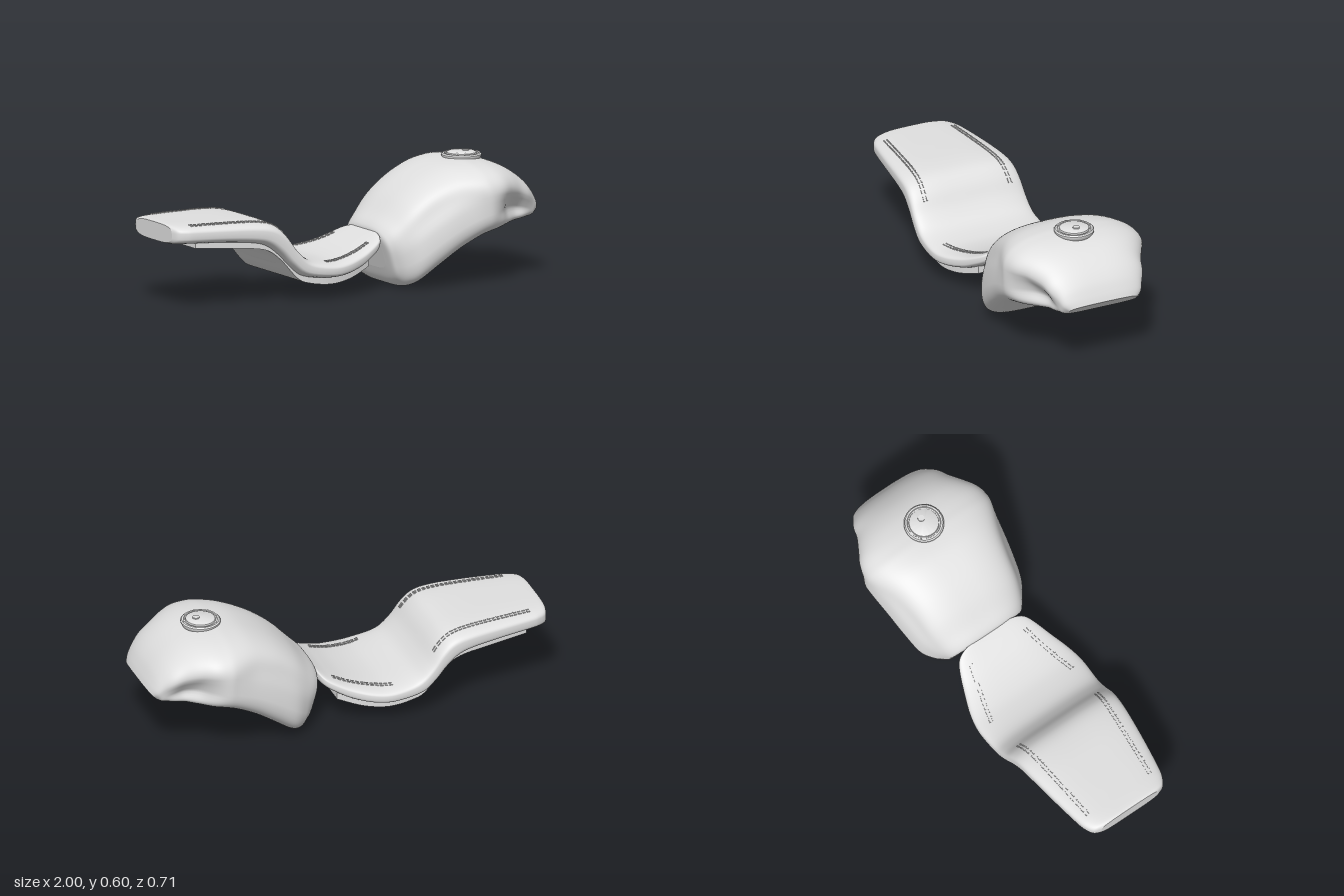
import * as THREE from 'three';
import { mergeGeometries, toCreasedNormals } from 'three/addons/utils/BufferGeometryUtils.js';

// Section rows: bottomX, bottomY, topX, topY, halfWidth, dentDepth, dentHeight
const TANK = [
  [0.190, 0.085, 0.147, 0.235, 0.140, 0, 0.7],
  [0.210, 0.035, 0.140, 0.270, 0.195, 0, 0.7],
  [0.235, 0.010, 0.155, 0.300, 0.222, 0.01, 0.7],
  [0.265, 0.000, 0.200, 0.345, 0.258, 0.05, 0.72],
  [0.310, 0.018, 0.280, 0.425, 0.298, 0.09, 0.72],
  [0.400, 0.083, 0.380, 0.495, 0.322, 0.10, 0.72],
  [0.500, 0.153, 0.500, 0.548, 0.340, 0.07, 0.70],
  [0.600, 0.208, 0.600, 0.566, 0.355, 0.02, 0.6],
  [0.660, 0.230, 0.660, 0.566, 0.358, 0.01, 0.4],
  [0.720, 0.243, 0.720, 0.560, 0.348, 0.09, 0.36],
  [0.780, 0.252, 0.785, 0.545, 0.312, 0.20, 0.33],
  [0.835, 0.260, 0.850, 0.515, 0.274, 0.20, 0.3],
  [0.885, 0.267, 0.910, 0.470, 0.252, 0.12, 0.3],
  [0.918, 0.272, 0.955, 0.420, 0.224, 0.03, 0.3],
  [0.935, 0.276, 0.985, 0.368, 0.206, 0, 0.3],
  [0.950, 0.282, 1.000, 0.332, 0.180, 0, 0.3],
];

const SEAT = [
  [-1.000, 0.318, -1.000, 0.405, 0.165],
  [-0.985, 0.315, -0.985, 0.408, 0.200],
  [-0.950, 0.314, -0.950, 0.409, 0.222],
  [-0.900, 0.313, -0.900, 0.409, 0.236],
  [-0.750, 0.307, -0.750, 0.408, 0.260],
  [-0.600, 0.292, -0.590, 0.404, 0.280],
  [-0.530, 0.270, -0.490, 0.388, 0.288],
  [-0.465, 0.220, -0.430, 0.343, 0.293],
  [-0.410, 0.165, -0.370, 0.262, 0.297],
  [-0.340, 0.115, -0.300, 0.204, 0.300],
  [-0.200, 0.095, -0.190, 0.180, 0.303],
  [-0.100, 0.100, -0.100, 0.183, 0.286],
  [0.000, 0.125, 0.000, 0.205, 0.250],
  [0.080, 0.165, 0.080, 0.236, 0.217],
  [0.120, 0.192, 0.120, 0.256, 0.192],
  [0.140, 0.215, 0.140, 0.268, 0.155],
  [0.150, 0.235, 0.150, 0.272, 0.100],
];

const PAN = [
  [-0.890, 0.296, -0.890, 0.330, 0.200],
  [-0.700, 0.282, -0.700, 0.325, 0.225],
  [-0.540, 0.265, -0.530, 0.300, 0.243],
  [-0.455, 0.212, -0.435, 0.245, 0.248],
  [-0.365, 0.115, -0.340, 0.150, 0.253],
  [-0.300, 0.085, -0.290, 0.130, 0.256],
  [-0.180, 0.070, -0.180, 0.115, 0.256],
  [-0.060, 0.084, -0.060, 0.125, 0.232],
  [0.060, 0.122, 0.060, 0.165, 0.190],
];

// Smooth interpolation of a section row at fractional index f
function sample(rows, f) {
  const last = rows.length - 1;
  const i = Math.min(Math.floor(f), last - 1), t = f - i;
  const at = k => rows[Math.max(0, Math.min(last, k))];
  const [a, b, c, d] = [at(i - 1), at(i), at(i + 1), at(i + 2)];
  return b.map((q, k) => q + 0.5 * t * (c[k] - a[k] +
    t * (2 * a[k] - 5 * q + 4 * c[k] - d[k] + t * (3 * (q - c[k]) + d[k] - a[k]))));
}

// Point on a superellipse section, cz and sy in -1..1
function sectionPoint(row, cz, sy) {
  const [bx, by, tx, ty, w, dent = 0, dentAt = 0.5] = row;
  const v = 0.5 + 0.5 * sy;
  const z = cz * w * (1 - dent * Math.exp(-(((v - dentAt) / 0.2) ** 2)));
  return new THREE.Vector3(bx + (tx - bx) * v, by + (ty - by) * v, z);
}

// Closed, capped loft; the powers set how boxy the upper and lower halves are
function loft(rows, upper, lower, segments, steps, start = 0) {
  const pos = [], idx = [], rings = (rows.length - 1) * steps + 1;
  const addRing = row => {
    for (let j = 0; j < segments; j++) {
      const a = start + (j / segments) * Math.PI * 2;
      const power = Math.sin(a) > 0 ? upper : lower;
      const pw = c => Math.sign(c) * Math.abs(c) ** (2 / power);
      pos.push(...sectionPoint(row, pw(Math.cos(a)), pw(Math.sin(a))).toArray());
    }
  };
  for (let i = 0; i < rings; i++) addRing(sample(rows, i / steps));
  for (let i = 0; i < rings - 1; i++) {
    for (let j = 0; j < segments; j++) {
      const k = (j + 1) % segments, a = i * segments, b = a + segments;
      idx.push(a + j, b + j, a + k, b + j, b + k, a + k);
    }
  }
  [rows[0], rows[rows.length - 1]].forEach((row, end) => {
    const base = pos.length / 3;
    addRing(row);
    pos.push(...sectionPoint(row, 0, 0).toArray());
    for (let j = 0; j < segments; j++) {
      const k = (j + 1) % segments;
      idx.push(base + segments, base + (end ? k : j), base + (end ? j : k));
    }
  });
  const g = new THREE.BufferGeometry();
  g.setAttribute('position', new THREE.Float32BufferAttribute(pos, 3));
  g.setIndex(idx);
  g.computeVertexNormals();
  return g;
}

const SEAT_POWER = 3.6;

// Point on the upper seat surface above (x, z)
function seatTop(x, z) {
  let lo = 0, hi = SEAT.length - 1;
  for (let i = 0; i < 30; i++) {
    const mid = (lo + hi) / 2;
    if (sample(SEAT, mid)[2] < x) lo = mid; else hi = mid;
  }
  const row = sample(SEAT, lo), u = z / row[4];
  return sectionPoint(row, u, (1 - Math.abs(u) ** SEAT_POWER) ** (1 / SEAT_POWER));
}

// Row of short thread dashes lying on the seat
function stitchRow(x0, z0, x1, z1) {
  const dashes = [], count = Math.round((x1 - x0) / 0.022);
  const helper = new THREE.Object3D();
  const at = t => seatTop(x0 + (x1 - x0) * t, z0 + (z1 - z0) * t);
  for (let i = 0; i < count; i++) {
    const p = at(i / count), q = at((i + 0.65) / count);
    helper.position.copy(p).add(q).multiplyScalar(0.5);
    helper.lookAt(q);
    helper.updateMatrix();
    dashes.push(new THREE.BoxGeometry(0.005, 0.008, p.distanceTo(q)).applyMatrix4(helper.matrix));
  }
  return mergeGeometries(dashes);
}

export function createModel() {
  const model = new THREE.Group();
  const grey = new THREE.MeshStandardMaterial({ color: 0xe0e0e0 });
  grey.name = 'light grey';
  const add = (name, geometry, parent = model) => {
    const mesh = new THREE.Mesh(geometry, grey);
    mesh.name = name;
    parent.add(mesh);
    return mesh;
  };

  // Fuel tank and seat bodies
  add('fuelTank', loft(TANK, 2.8, 4.2, 72, 6));
  add('seatCushion', loft(SEAT, SEAT_POWER, SEAT_POWER, 64, 5));
  add('seatPan', toCreasedNormals(loft(PAN, 100, 100, 4, 5, Math.PI / 4), 0.6));

  // Double stitching on both sides
  const stitches = [];
  for (const side of [1, -1]) {
    for (const inset of [0, 0.016]) {
      stitches.push(stitchRow(-0.91, side * (0.187 - inset), -0.4, side * (0.233 - inset)));
      stitches.push(stitchRow(-0.2, side * (0.24 - inset), 0.08, side * (0.162 - inset)));
    }
  }
  add('seatStitching', mergeGeometries(stitches));

  // Filler cap: flared neck, rim, lid and lock
  const cap = new THREE.Group();
  cap.name = 'fillerCap';
  cap.position.set(0.677, 0, 0);
  model.add(cap);
  const profile = [[0.07, 0.535], [0.084, 0.548], [0.095, 0.568], [0.095, 0.575], [0.089, 0.581],
    [0.080, 0.581], [0.078, 0.577], [0.072, 0.577], [0.070, 0.584], [0.060, 0.589], [0, 0.591]];
  const lathe = new THREE.LatheGeometry(profile.map(p => new THREE.Vector2(...p)), 48);
  add('capBody', toCreasedNormals(lathe, 0.6), cap);
  const lock = add('capLock', new THREE.CylinderGeometry(0.016, 0.017, 0.008, 24), cap);
  lock.position.set(0.022, 0.591, 0);
  for (let i = 0; i < 8; i++) {
    const a = (i / 8) * Math.PI * 2;
    const bolt = add('capBolt', new THREE.CylinderGeometry(0.004, 0.004, 0.004, 10), cap);
    bolt.position.set(Math.cos(a) * 0.085, 0.581, Math.sin(a) * 0.085);
  }
  return model;
}
